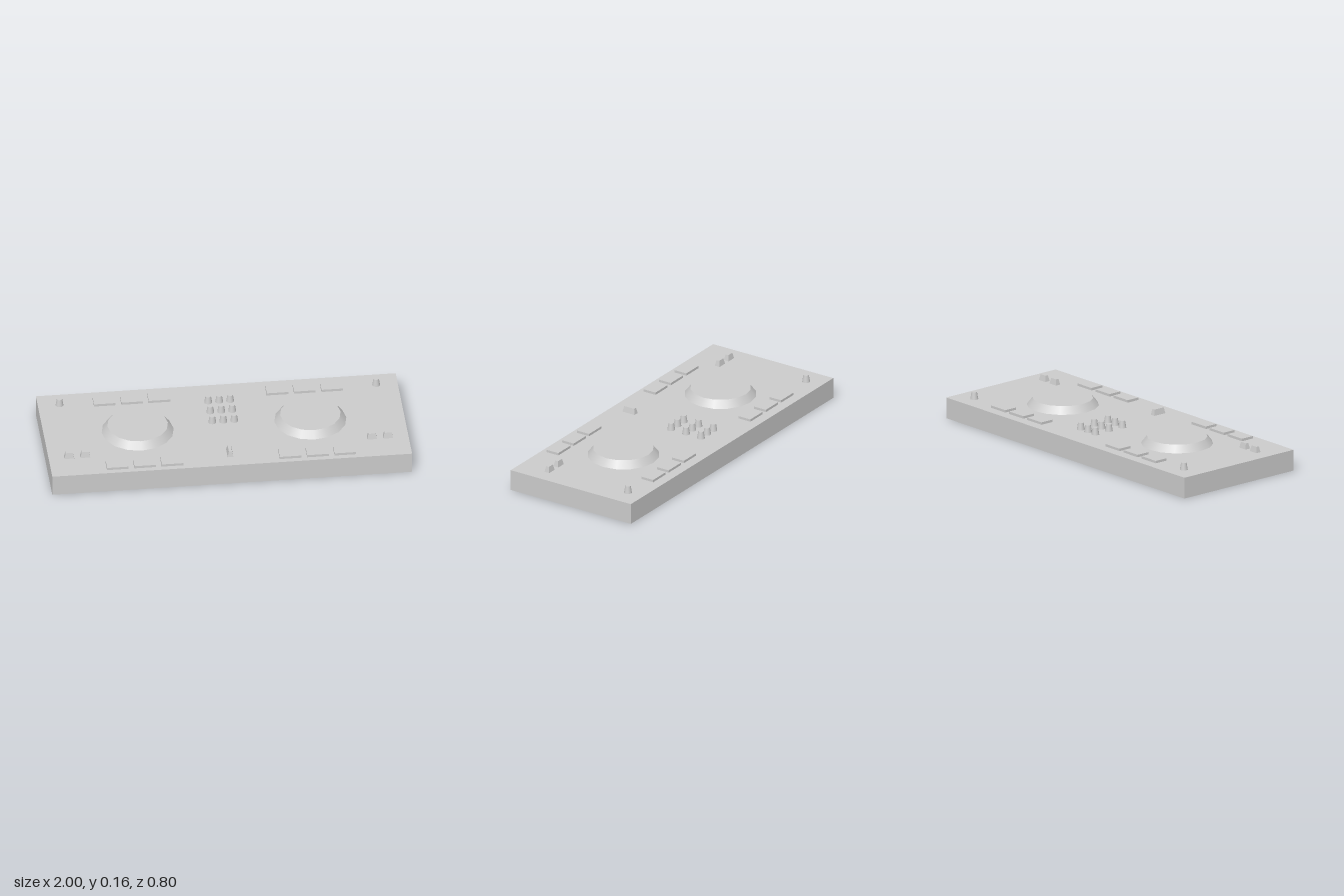
import * as THREE from 'three';

const DECK = 0.12; // height of the top panel
const material = new THREE.MeshStandardMaterial({ color: 0xcccccc });

export function createModel() {
  const model = new THREE.Group();

  // Adds a mesh whose base sits at height y
  function add(name, geometry, height, x, y, z) {
    const mesh = new THREE.Mesh(geometry, material);
    mesh.name = name;
    mesh.position.set(x, y + height / 2, z);
    model.add(mesh);
  }

  // Box whose top face is narrowed to topW x topD
  function taperedBox(w, h, d, topW, topD) {
    const geometry = new THREE.BoxGeometry(w, h, d);
    const p = geometry.attributes.position;
    for (let i = 0; i < p.count; i++) {
      if (p.getY(i) > 0) {
        p.setX(i, Math.sign(p.getX(i)) * topW / 2);
        p.setZ(i, Math.sign(p.getZ(i)) * topD / 2);
      }
    }
    geometry.computeVertexNormals();
    return geometry;
  }

  // Main casing
  add('casing', new THREE.BoxGeometry(2, DECK, 0.8), DECK, 0, 0, 0);

  const wheel = new THREE.CylinderGeometry(0.168, 0.2, 0.041, 16);
  const pad = new THREE.BoxGeometry(0.12, 0.014, 0.079);
  const knob = new THREE.CylinderGeometry(0.015, 0.022, 0.041, 16);
  const slider = taperedBox(0.054, 0.033, 0.032, 0.04, 0.018);
  const crossSlider = taperedBox(0.032, 0.033, 0.08, 0.018, 0.067);

  for (const side of [-1, 1]) {
    const name = side > 0 ? 'left' : 'right';

    // Jog wheel with pads behind and in front of it
    add(name + 'JogWheel', wheel, 0.041, side * 0.48, DECK, 0);
    for (const step of [-1, 0, 1]) {
      const x = side * 0.48 + step * 0.152;
      add(name + 'BackPad', pad, 0.014, x, DECK, -0.302);
      add(name + 'FrontPad', pad, 0.014, x, DECK, 0.33);
    }

    // Corner knob and pair of slider caps
    add(name + 'CornerKnob', knob, 0.041, side * 0.88, DECK, -0.3);
    for (const x of [0.797, 0.886]) {
      add(name + 'SliderCap', slider, 0.033, side * x, DECK, 0.218);
    }
  }

  // Central three by three knob grid
  for (const x of [-0.061, 0, 0.061]) {
    for (const z of [-0.234, -0.135, -0.036]) add('mixerKnob', knob, 0.041, x, DECK, z);
  }

  // Cross slider cap at the front centre
  add('crossSliderCap', crossSlider, 0.033, 0, DECK, 0.279);

  return model;
}
